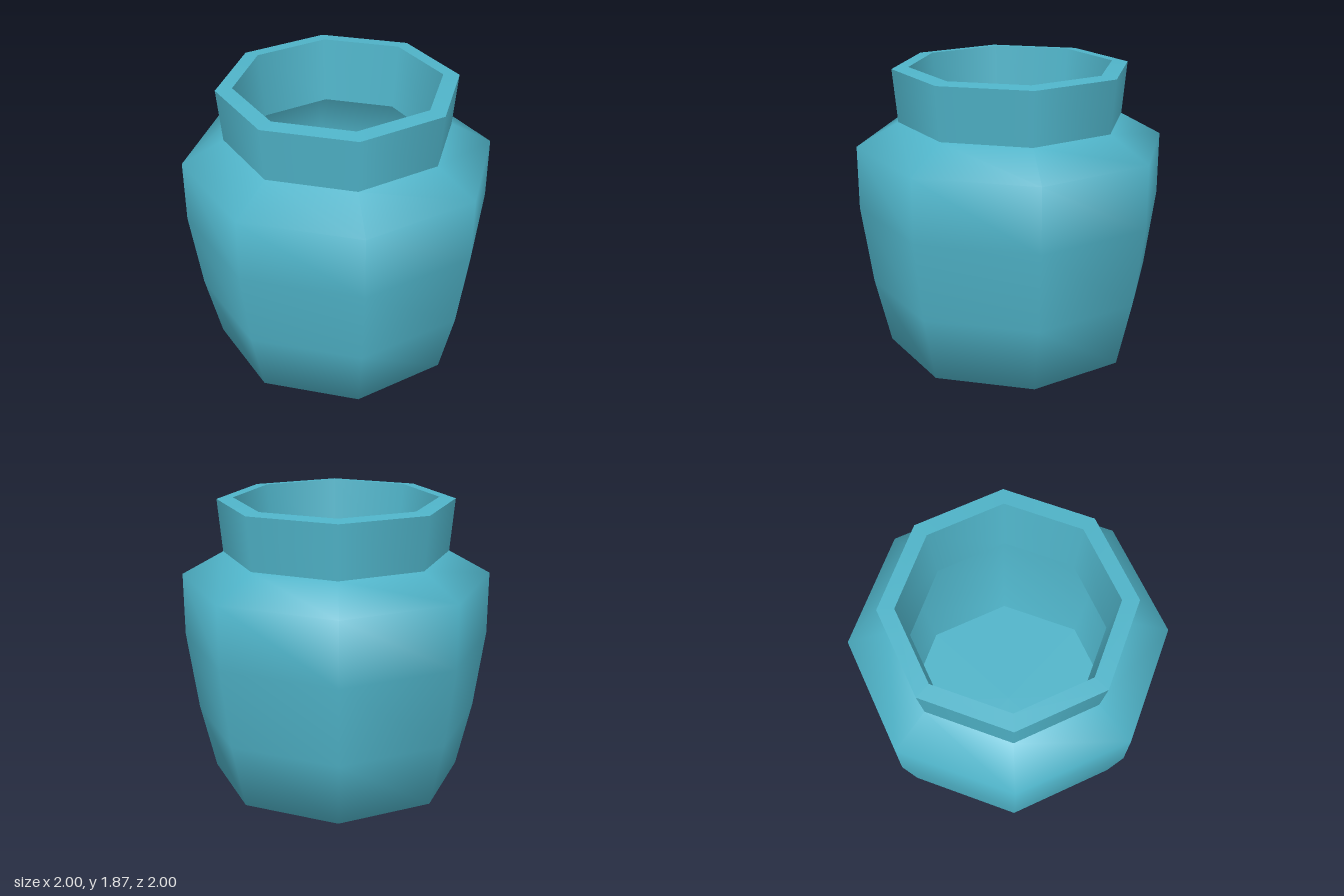
import * as THREE from 'three';

const SIDES = 8;

export function createModel() {
  const jar = new THREE.Group();
  jar.name = 'jar';
  const glaze = new THREE.MeshStandardMaterial({ color: 0x4fb3c8, side: THREE.DoubleSide });

  // Each section is a smooth eight-sided band; separate sections keep sharp creases between them.
  function addBand(name, profile) {
    const points = profile.map(([r, y]) => new THREE.Vector2(r, y));
    const mesh = new THREE.Mesh(new THREE.LatheGeometry(points, SIDES), glaze);
    mesh.name = name;
    jar.add(mesh);
  }

  // Outside, from the middle of the base up to the rim
  addBand('body', [[0, 0], [0.83, 0], [0.93, 0.44], [1, 0.96], [1, 1.37], [0.73, 1.52]]);
  addBand('neck', [[0.73, 1.52], [0.76, 1.86]]);
  addBand('rim', [[0.76, 1.86], [0.655, 1.87]]);

  // Inside, from the rim down to the floor
  addBand('neckInside', [[0.655, 1.87], [0.605, 1.45]]);
  addBand('bodyInside', [[0.605, 1.45], [0.9, 1.31], [0.9, 0.96], [0.84, 0.45], [0.75, 0.1]]);
  addBand('floor', [[0.75, 0.1], [0, 0.1]]);

  return jar;
}
